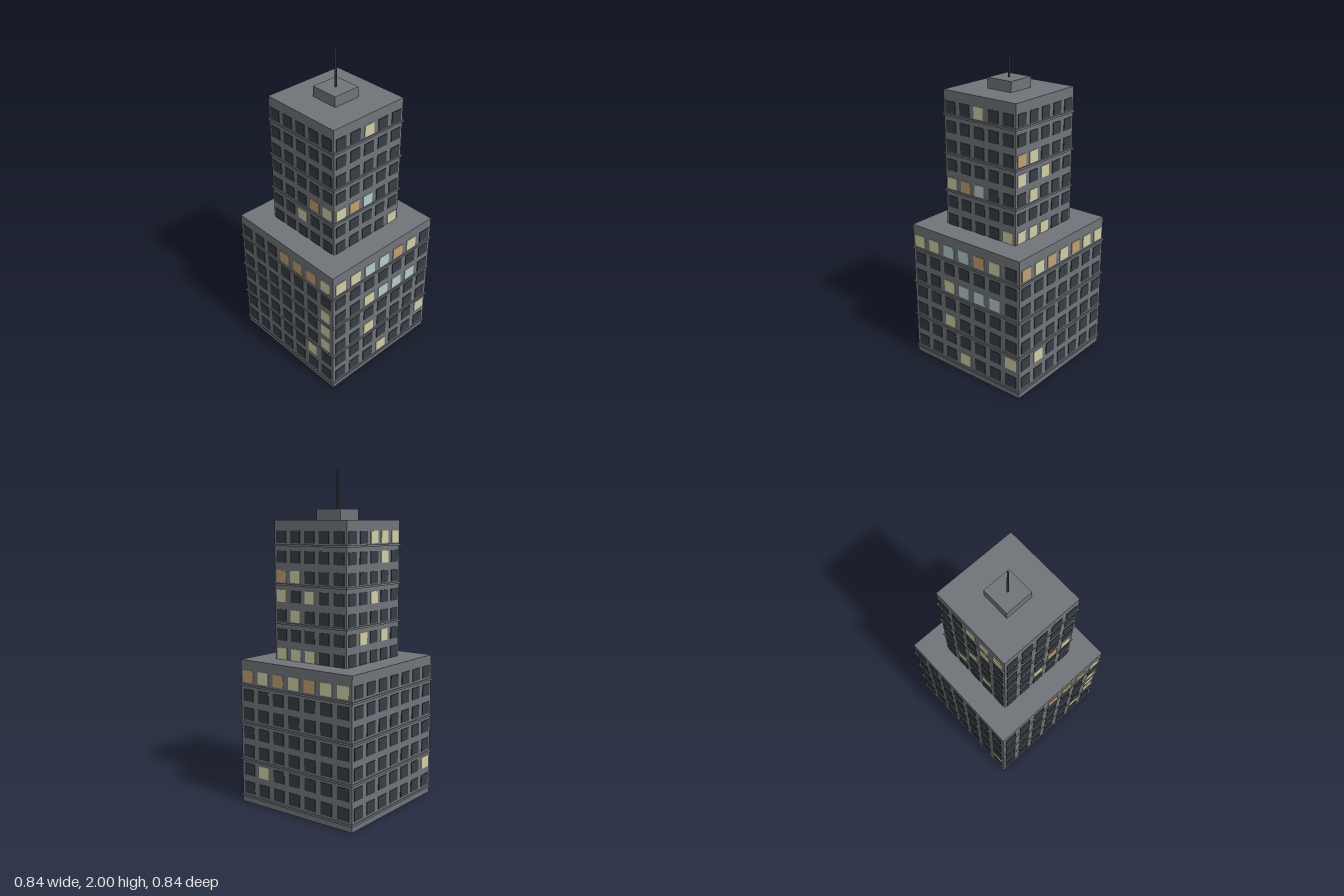
import * as THREE from 'three';

const mat = (name, color) => {
  const m = new THREE.MeshStandardMaterial({ color });
  m.name = name;
  return m;
};

export function createModel() {
  const model = new THREE.Group();
  model.name = 'officeTower';

  const concrete = mat('concrete grey', 0x70757a);
  const metal = mat('antenna metal', 0x41444d);
  const glass = {
    '.': mat('dark glass', 0x363d43),
    Y: mat('warm lit glass', 0xcfcda6),
    O: mat('amber lit glass', 0xc09e73),
    B: mat('cool lit glass', 0xb7cbcb),
  };

  const add = (parent, name, geometry, material, x = 0, y = 0, z = 0) => {
    const mesh = new THREE.Mesh(geometry, material);
    mesh.name = name;
    mesh.position.set(x, y, z);
    parent.add(mesh);
    return mesh;
  };

  // Square block standing between two heights
  const block = (parent, name, half, y0, y1) =>
    add(parent, name, new THREE.BoxGeometry(half * 2, y1 - y0, half * 2), concrete, 0, (y0 + y1) / 2, 0);

  // One tier: body, ledges on every second floor, window grids on four faces
  // Faces run front, right-hand (+x), back, other side (-x); rows run top to bottom
  function tier(name, t) {
    const group = new THREE.Group();
    group.name = name;
    model.add(group);
    block(group, 'body', t.half, t.y0, t.y1);
    for (const y of t.ledges) block(group, 'ledge', t.half + 0.007, y - 0.006, y + 0.006);

    const pane = new THREE.BoxGeometry(t.paneW, t.paneH, 0.008);
    t.faces.forEach((rows, f) => {
      const face = new THREE.Group();
      face.name = 'windowFace';
      face.rotation.y = f * Math.PI / 2;
      group.add(face);
      rows.split(' ').forEach((row, r) => {
        [...row].forEach((key, c) => {
          const x = (c - (row.length - 1) / 2) * t.stepX;
          add(face, 'window', pane, glass[key], x, t.topRow - r * t.stepY, t.half);
        });
      });
    });
  }

  tier('lowerTier', {
    half: 0.412, y0: 0.055, y1: 0.882,
    ledges: [0.04, 0.27, 0.5, 0.73],
    paneW: 0.079, paneH: 0.074, stepX: 0.1175, stepY: 0.1148, topRow: 0.785,
    faces: [
      'YYBBOY. ....... ..YBBB. ....... ..Y.... ......Y ...Y...',
      'OYOYOYY ....... ....... ....... ....... .Y..... .......',
      '....... ....... ....... ....... ....... ......Y .......',
      '...OOOY ....... ......Y ......Y ......Y .....Y. .......',
    ],
  });

  tier('upperTier', {
    half: 0.264, y0: 0.882, y1: 1.705,
    ledges: [1.1, 1.33, 1.56],
    paneW: 0.072, paneH: 0.071, stepX: 0.106, stepY: 0.1152, topRow: 1.608,
    faces: [
      '..Y.. ..... ..... ..... YOB.. ..... ....Y',
      '..... ..... OY... Y.Y.. .Y... ..... YYY..',
      '..YYY ...Y. ..... ..Y.. ..... .Y.Y. .....',
      '..... ..... ..... ..... ...OY ..Y.. .....',
    ],
  });

  // Hollow skirt around the recessed underside
  const square = (h, Type) =>
    new Type([[-h, -h], [h, -h], [h, h], [-h, h]].map(([x, y]) => new THREE.Vector2(x, y)));
  const ring = square(0.412, THREE.Shape);
  ring.holes.push(square(0.407, THREE.Path));
  const skirt = new THREE.ExtrudeGeometry(ring, { depth: 0.055, bevelEnabled: false });
  skirt.rotateX(-Math.PI / 2);
  add(model, 'baseSkirt', skirt, concrete);

  // Roof plant room and antenna
  block(model, 'roofBox', 0.088, 1.705, 1.768);
  add(model, 'antenna', new THREE.CylinderGeometry(0.005, 0.006, 0.232, 8), metal, 0, 1.884, 0);

  return model;
}
